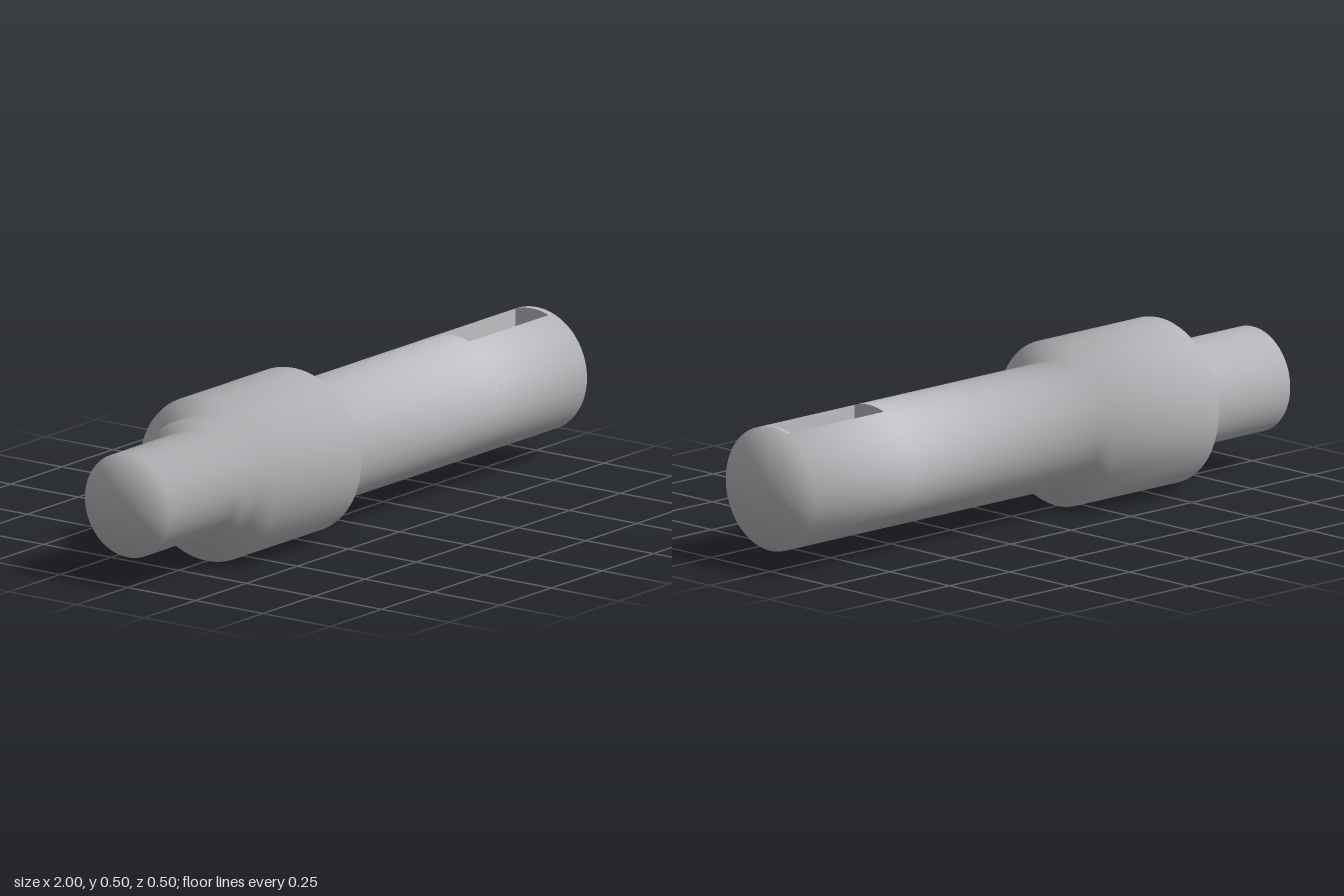
import * as THREE from 'three';

const AXIS_Y = 0.25, R = 0.187;
const SLOT = { x0: 0.59, x1: 0.978, half: 0.0615, floor: 0.115 };
const GAP = Math.asin(SLOT.half / R);
const UP = Math.PI * 1.5; // lathe angle that ends up pointing to +y

// Revolve a [radius, x] profile about the x axis, with normals blended evenly at each corner
function turned(profile, segments, start = 0, length = Math.PI * 2) {
  const pts = profile.map(([r, x]) => new THREE.Vector2(r, x));
  const geo = new THREE.LatheGeometry(pts, segments, start, length);
  const faces = pts.slice(1).map((p, j) => {
    const d = p.clone().sub(pts[j]);
    return new THREE.Vector2(d.y, -d.x).normalize();
  });
  const normals = pts.map((p, j) => {
    if (p.x === 0) return new THREE.Vector2(0, Math.sign(p.y));
    const n = new THREE.Vector2();
    if (j > 0) n.add(faces[j - 1]);
    if (j < faces.length) n.add(faces[j]);
    return n.normalize();
  });
  for (let i = 0; i <= segments; i++) {
    const a = start + (i / segments) * length;
    normals.forEach((n, j) =>
      geo.attributes.normal.setXYZ(i * pts.length + j, n.x * Math.sin(a), n.y, n.x * Math.cos(a)));
  }
  return geo.rotateZ(-Math.PI / 2);
}

export function createModel() {
  const steel = new THREE.MeshStandardMaterial({ color: 0xc0c0c4 });
  steel.name = 'steel grey';
  const group = new THREE.Group();
  group.name = 'steppedShaft';
  const add = (name, geo) => {
    const mesh = new THREE.Mesh(geo, steel);
    mesh.name = name;
    mesh.position.y = AXIS_Y;
    group.add(mesh);
    return mesh;
  };

  // Journal, shoulder, collar and shaft up to the keyway
  add('shaftBody', turned([
    [0, -1], [0.158, -1], [0.158, -0.675], [0.191, -0.675], [0.191, -0.612],
    [0.25, -0.612], [0.25, -0.188], [R, -0.188], [R, SLOT.x0],
  ], 96));

  // Shaft end, left open at the top for the keyway, and the small bridge closing it
  add('shaftEnd', turned([[R, SLOT.x0], [R, 1], [0, 1]], 88, UP + GAP, Math.PI * 2 - 2 * GAP));
  add('keywayBridge', turned([[R, SLOT.x1], [R, 1], [0, 1]], 10, UP - GAP, 2 * GAP));

  // Keyway floor and side walls
  const { x0, x1, half, floor } = SLOT;
  const len = x1 - x0, mid = (x0 + x1) / 2;
  const rim = Math.sqrt(R * R - half * half);
  add('keywayFloor', new THREE.PlaneGeometry(len, half * 2).rotateX(-Math.PI / 2).translate(mid, floor, 0));
  for (const side of [-1, 1]) {
    const wall = new THREE.PlaneGeometry(len, rim - floor);
    if (side > 0) wall.rotateY(Math.PI);
    add('keywaySide', wall.translate(mid, (rim + floor) / 2, side * half));
  }

  // Keyway end walls with an arched top following the shaft
  const end = new THREE.Shape();
  end.moveTo(-half, floor);
  end.lineTo(half, floor);
  end.lineTo(half, rim);
  end.absarc(0, 0, R, Math.PI / 2 - GAP, Math.PI / 2 + GAP, false);
  end.closePath();
  for (const [x, turn] of [[x0, 1], [x1, -1]]) {
    add('keywayEnd', new THREE.ShapeGeometry(end, 10).rotateY(turn * Math.PI / 2).translate(x, 0, 0));
  }
  return group;
}
